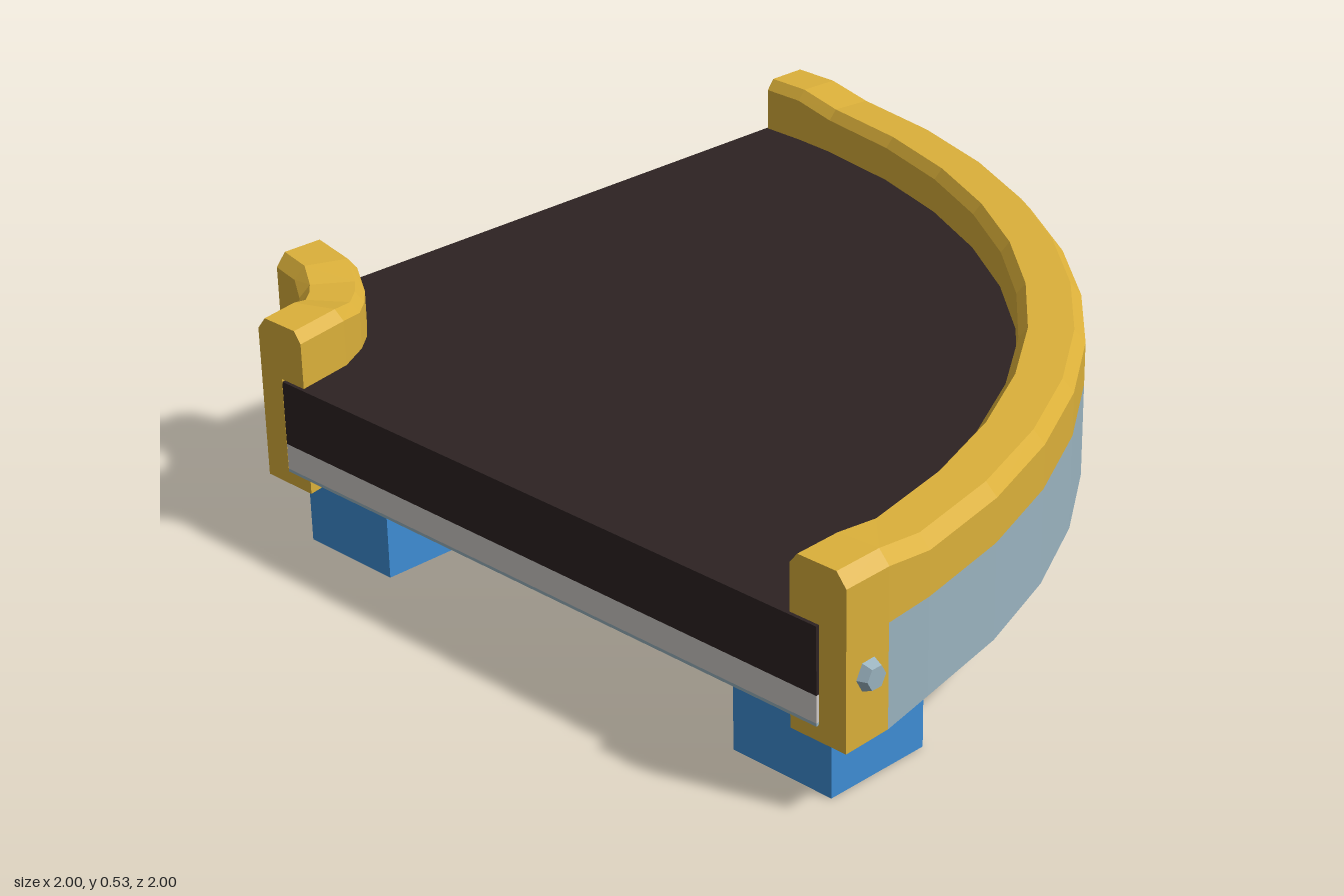
import * as THREE from 'three';

const flat = (name, color) => {
  const m = new THREE.MeshStandardMaterial({ color });
  m.name = name;
  return m;
};

// Sweep a (radius, height) profile around the corner at x = -1, z = 1.
// Angles are in degrees; profileAt(angle) always returns the same point count.
function sweep(profileAt, angles, limit = 1) {
  const sections = angles.map((deg) => {
    const t = THREE.MathUtils.degToRad(deg);
    let pts = profileAt(deg).map(([r, y]) => new THREE.Vector2(r, y));
    if (THREE.ShapeUtils.isClockWise(pts)) pts = pts.reverse();
    const ring = pts.map((p) => new THREE.Vector3(
      Math.max(-limit, -1 + p.x * Math.cos(t)), p.y, Math.min(limit, 1 - p.x * Math.sin(t))));
    return { pts, ring };
  });
  const out = [];
  const tri = (...vs) => vs.forEach((v) => out.push(v.x, v.y, v.z));
  for (let j = 0; j < sections.length - 1; j++) {
    const A = sections[j].ring, B = sections[j + 1].ring;
    A.forEach((a, i) => {
      const k = (i + 1) % A.length;
      tri(a, B[i], B[k]);
      tri(a, B[k], A[k]);
    });
  }
  // flat ends
  const first = sections[0], last = sections[sections.length - 1];
  for (const [a, b, c] of THREE.ShapeUtils.triangulateShape(first.pts, []))
    tri(first.ring[a], first.ring[b], first.ring[c]);
  for (const [a, b, c] of THREE.ShapeUtils.triangulateShape(last.pts, []))
    tri(last.ring[a], last.ring[c], last.ring[b]);
  const g = new THREE.BufferGeometry();
  g.setAttribute('position', new THREE.Float32BufferAttribute(out, 3));
  g.computeVertexNormals();
  return g;
}

export function createModel() {
  const yellow = flat('yellow paint', 0xdbb03a);
  const steel = flat('blue grey steel', 0x9ab3bf);
  const dark = flat('dark belt', 0x2d2323);
  const pale = flat('pale deck', 0xd0cbc8);
  const blue = flat('blue feet', 0x3e8ed6);

  const group = new THREE.Group();
  const add = (name, geometry, material, parent = group) => {
    const mesh = new THREE.Mesh(geometry, material);
    mesh.name = name;
    parent.add(mesh);
    return mesh;
  };

  // belt, deck and underside plate
  const steps = Array.from({ length: 13 }, (_, i) => i * 7.5);
  const slab = (y0, y1) => sweep(() => [[0.325, y0], [1.91, y0], [1.91, y1], [0.325, y1]], steps);
  add('belt', slab(0.25, 0.399), dark);
  add('deck', slab(0.19, 0.25), pale);
  add('undersidePlate', slab(0.183, 0.19), steel);

  // curved side rails: wall radius, direction towards the belt, cap and ramp angles
  const rails = [
    { name: 'outerRail', wall: 1.98, dir: -1, cap: 3.75, ramp: 7.5, mid: steps.slice(2, 11) },
    { name: 'innerRail', wall: 0.245, dir: 1, cap: 22.5, ramp: 36, mid: [45] },
  ];
  for (const { name, wall, dir, cap, ramp, mid } of rails) {
    const rail = new THREE.Group();
    rail.name = name;
    group.add(rail);
    const at = (pts) => pts.map(([d, y]) => [wall + dir * d, y]);
    const isEnd = (a) => Math.min(a, 90 - a) <= cap + 0.01;
    const top = (a) => (isEnd(a) ? 0.53 : 0.51);
    const low = (a) => (isEnd(a) ? 0.148 : 0.162);
    const crown = (T) => [[0.145, 0.4], [0.145, T - 0.025], [0.125, T], [0.025, T], [0, T - 0.03]];
    const middle = [cap, ramp, ...mid, 90 - ramp, 90 - cap];

    add('guardRail', sweep((a) => at([[0, 0.38], [0.07, 0.38], [0.07, 0.4], ...crown(top(a))]),
      middle, 0.993), yellow, rail);
    add('sidePanel', sweep((a) => at([[0, 0.38], [0.07, 0.38], [0.07, 0.185],
      [0.145, 0.185], [0.145, low(a)], [0, low(a)]]), middle, 0.993), steel, rail);

    // C-shaped brackets at both ends
    for (const span of [[0, cap], [90 - cap, 90]]) {
      add('endBracket', sweep(() => at([[0, 0.148], [0.145, 0.148], [0.145, 0.185], [0.07, 0.185],
        [0.07, 0.4], ...crown(0.53)]), span, 0.993), yellow, rail);
    }

    // hexagonal bolts on the outside of each bracket
    const bolt = new THREE.CylinderGeometry(0.026, 0.038, 0.03, 6).toNonIndexed();
    bolt.computeVertexNormals();
    const r = wall - dir * 0.005;
    const sideBolt = add('bolt', bolt, steel, rail);
    sideBolt.position.set(-1 + r, 0.295, 0.93);
    sideBolt.rotation.z = dir * Math.PI / 2;
    const backBolt = add('bolt', bolt, steel, rail);
    backBolt.position.set(-0.93, 0.295, 1 - r);
    backBolt.rotation.set(dir * Math.PI / 2, Math.PI / 6, 0);
    sideBolt.rotation.x = 0;
  }

  // square feet, mirrored across the diagonal
  const foot = new THREE.BoxGeometry(0.264, 0.186, 0.264);
  for (const p of [-0.538, 0.772]) {
    add('foot', foot, blue).position.set(p, 0.093, 0.82);
    add('foot', foot, blue).position.set(-0.82, 0.093, -p);
  }
  return group;
}
